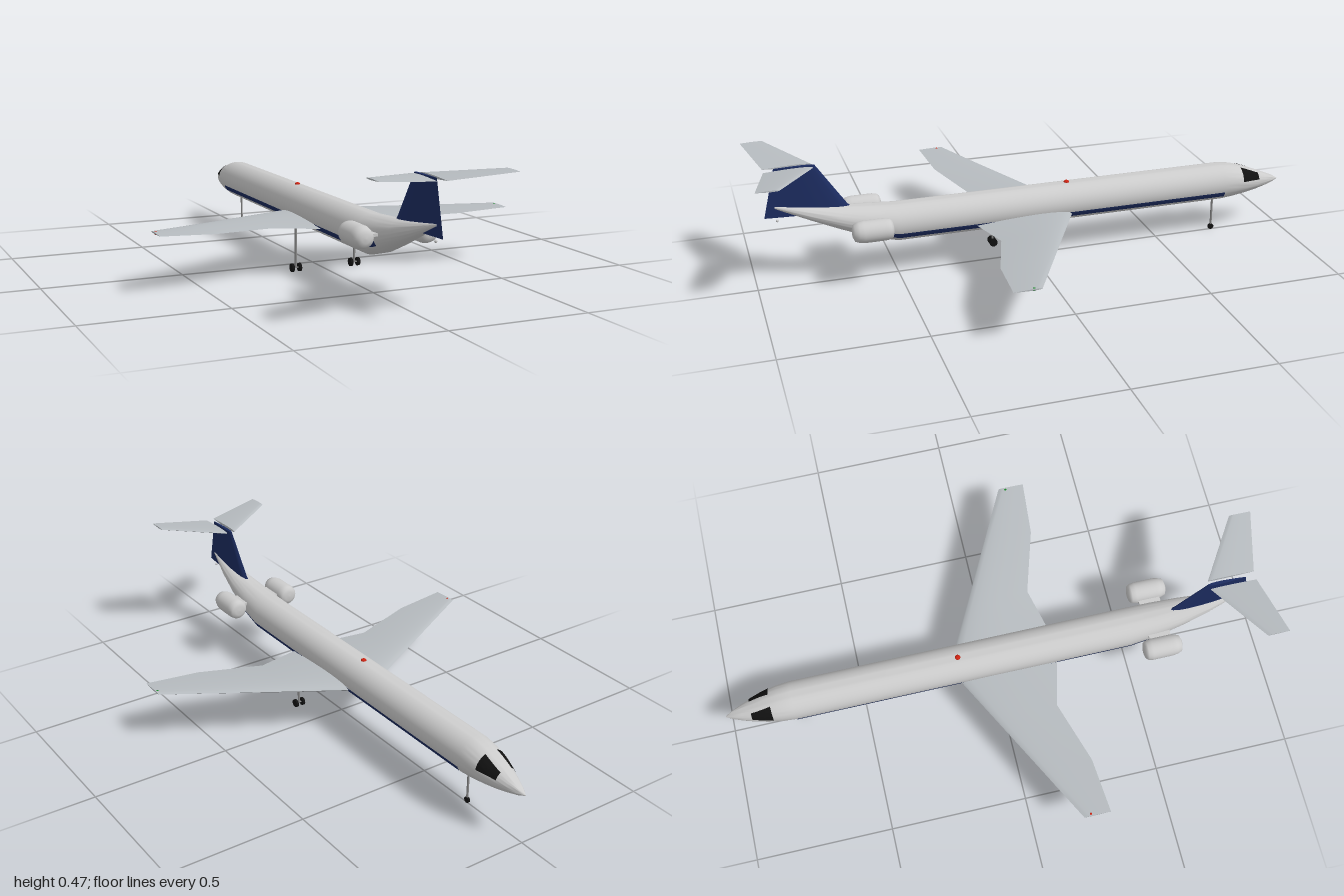
import * as THREE from 'three';
import { toCreasedNormals } from 'three/addons/utils/BufferGeometryUtils.js';

const mat = (color, side = THREE.FrontSide) => new THREE.MeshStandardMaterial({ color, side });
const white = mat(0xe2e2e2), wingGrey = mat(0xb6bbbf), navy = mat(0x1c2c60), strutGrey = mat(0x888888);
const black = mat(0x111111), red = mat(0xcc2211), green = mat(0x118822);
const navyTrim = mat(0x1c2c60, THREE.DoubleSide), glass = mat(0x111111, THREE.DoubleSide);

// Skin a list of rings; closed rings get flat end caps.
function loft(rings, closed = true) {
  const n = rings[0].length, index = [];
  for (let i = 0; i < rings.length - 1; i++) {
    for (let j = 0; j < (closed ? n : n - 1); j++) {
      const k = (j + 1) % n, a = i * n + j, b = i * n + k;
      index.push(a, b, b + n, a, b + n, a + n);
    }
  }
  if (closed) {
    const e = (rings.length - 1) * n;
    for (let j = 1; j < n - 1; j++) index.push(0, j + 1, j, e, e + j, e + j + 1);
  }
  const g = new THREE.BufferGeometry();
  g.setAttribute('position', new THREE.Float32BufferAttribute(rings.flat(2), 3));
  g.setIndex(index);
  g.computeVertexNormals();
  return toCreasedNormals(g, 0.9);
}

function add(parent, name, geometry, material, x = 0, y = 0, z = 0) {
  const m = new THREE.Mesh(geometry, material);
  m.name = name;
  m.position.set(x, y, z);
  parent.add(m);
  return m;
}

// Fuselage stations: z, centre height, half width, half height
const stations = [
  [-1, 0.18, 0.001, 0.001], [-0.975, 0.182, 0.015, 0.014], [-0.94, 0.185, 0.029, 0.026],
  [-0.9, 0.189, 0.043, 0.039], [-0.85, 0.195, 0.057, 0.053], [-0.8, 0.199, 0.066, 0.064],
  [-0.75, 0.2, 0.07, 0.07], [0.5, 0.2, 0.07, 0.07], [0.6, 0.217, 0.064, 0.06],
  [0.7, 0.242, 0.052, 0.043], [0.8, 0.27, 0.034, 0.026], [0.92, 0.305, 0.004, 0.005],
];

// Point on the fuselage skin at station z and angle a, lifted by off
function skin(z, a, off = 0) {
  let i = 0;
  while (i < stations.length - 2 && z > stations[i + 1][0]) i++;
  const p = stations[i], q = stations[i + 1], t = (z - p[0]) / (q[0] - p[0]);
  const [cy, rx, ry] = [1, 2, 3].map(k => p[k] + (q[k] - p[k]) * t);
  return [(rx + off) * Math.cos(a), cy + (ry + off) * Math.sin(a), z];
}

// Thin panel following the skin between z0 and z1; angle limits in degrees at each end
function panel(z0, z1, from, to, steps) {
  const rows = [], rad = Math.PI / 180;
  for (let i = 0; i <= steps; i++) {
    const t = i / steps, lo = from[0] + (to[0] - from[0]) * t, hi = from[1] + (to[1] - from[1]) * t;
    const row = [];
    for (let j = 0; j <= 8; j++) row.push(skin(z0 + (z1 - z0) * t, (lo + (hi - lo) * j / 8) * rad, 0.0018));
    rows.push(row);
  }
  return loft(rows, false);
}

// Aerofoil surface from sections [span, offset, leading z, trailing z, thickness]
function foil(sections, vertical = false) {
  const N = 10;
  return loft(sections.map(([s, o, z0, z1, t]) => {
    const ring = [];
    for (let j = 0; j < 2 * N; j++) {
      const u = (1 + Math.cos(Math.PI * j / N)) / 2;
      const h = 5 * t * (0.2969 * Math.sqrt(u) - 0.126 * u - 0.3516 * u * u + 0.2843 * u ** 3 - 0.1036 * u ** 4);
      const d = j < N ? h : -h, z = z0 + (z1 - z0) * u;
      ring.push(vertical ? [o + d, s, z] : [s, o - d, z]);
    }
    return ring;
  }));
}

const wheel = (r, w) => new THREE.CylinderGeometry(r, r, w, 20).rotateZ(Math.PI / 2);

// Everything that repeats on both sides, built for +x
function sideParts(lamp) {
  const g = new THREE.Group();
  add(g, 'wing', foil([
    [0.03, 0.168, -0.155, 0.235, 0.034], [0.07, 0.17, -0.135, 0.22, 0.032],
    [0.23, 0.178, -0.052, 0.18, 0.023], [0.46, 0.19, 0.067, 0.25, 0.013], [0.66, 0.201, 0.17, 0.266, 0.005],
  ]), wingGrey);
  add(g, 'tailplane', foil([[0.016, 0.442, 0.78, 0.95, 0.011], [0.236, 0.463, 0.92, 1, 0.005]]), wingGrey);
  add(g, 'wingTipLight', new THREE.SphereGeometry(0.006, 12, 8), lamp, 0.652, 0.199, 0.195);

  // Engine nacelle with rounded ends
  const profile = [[0, 0], [0.018, 0.001], [0.03, 0.005], [0.036, 0.013], [0.039, 0.03],
    [0.039, 0.105], [0.036, 0.122], [0.03, 0.138], [0.015, 0.144], [0, 0.145]];
  add(g, 'engine', new THREE.LatheGeometry(profile.map(p => new THREE.Vector2(...p)), 32).rotateX(Math.PI / 2),
    white, 0.115, 0.225, 0.532);
  add(g, 'enginePylon', new THREE.BoxGeometry(0.05, 0.01, 0.08), white, 0.07, 0.228, 0.605);

  // Main landing gear
  add(g, 'mainGearStrut', new THREE.CylinderGeometry(0.004, 0.004, 0.155, 12), strutGrey, 0.115, 0.0925, 0.115);
  add(g, 'mainGearAxle', new THREE.CylinderGeometry(0.003, 0.003, 0.03, 10).rotateZ(Math.PI / 2), strutGrey, 0.115, 0.015, 0.115);
  for (const x of [0.101, 0.129]) add(g, 'mainWheel', wheel(0.015, 0.009), black, x, 0.015, 0.115);

  // Livery stripe and cockpit window
  add(g, 'stripe', panel(-0.75, 0.5, [-37, -19], [-37, -19], 4), navyTrim);
  add(g, 'tailStripe', panel(0.5, 0.62, [-37, -19], [-37, -19], 6), navyTrim);
  add(g, 'cockpitWindow', panel(-0.905, -0.83, [17, 58], [9, 68], 6), glass);
  return g;
}

export function createModel() {
  const model = new THREE.Group();
  model.name = 'airliner';

  const rings = stations.map(([z]) => Array.from({ length: 48 }, (_, j) => skin(z, j / 24 * Math.PI)));
  add(model, 'fuselage', loft(rings), white);
  add(model, 'tailFin', foil([[0.268, 0, 0.645, 0.957, 0.026], [0.29, 0, 0.67, 0.952, 0.025],
    [0.447, 0, 0.775, 0.914, 0.012]], true), navy);

  const starboard = sideParts(green), port = sideParts(red);
  starboard.name = 'starboardSide';
  port.name = 'portSide';
  port.scale.x = -1;
  model.add(starboard, port);

  // Nose gear
  add(model, 'noseGearStrut', new THREE.CylinderGeometry(0.004, 0.004, 0.13, 12), strutGrey, 0, 0.077, -0.73);
  add(model, 'noseWheel', wheel(0.011, 0.008), black, 0, 0.011, -0.73);

  // Lights
  add(model, 'beacon', new THREE.SphereGeometry(0.01, 16, 10).scale(1, 0.7, 1), red, 0, 0.27, -0.137);
  add(model, 'tailLight', new THREE.SphereGeometry(0.005, 12, 8), white, 0, 0.255, 0.914);
  return model;
}
